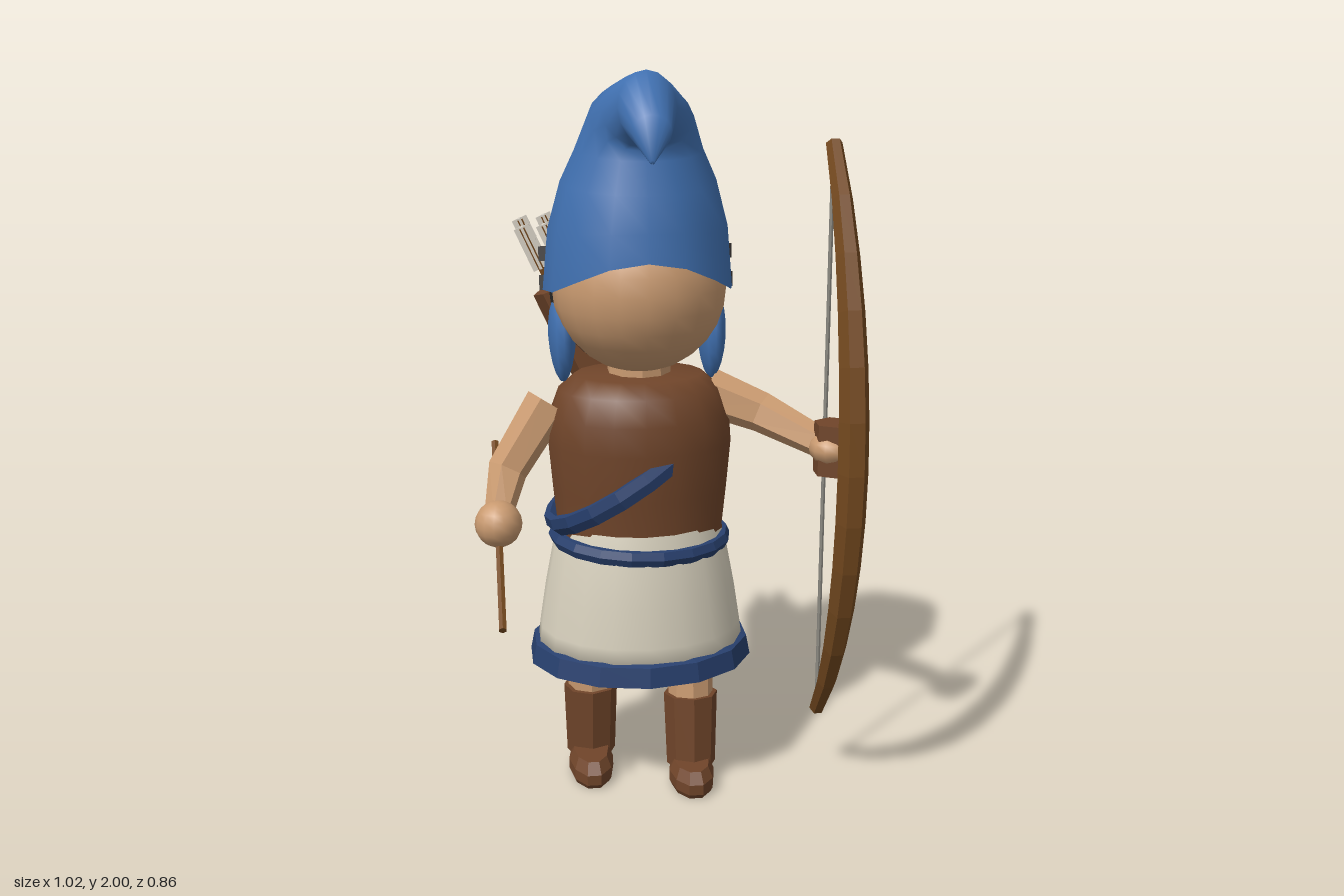
import * as THREE from 'three';

const V = (x, y, z) => new THREE.Vector3(x, y, z);
const CX = -0.055, CZ = -0.035; // body axis

const mat = (color, flat = true, side = THREE.FrontSide) =>
  new THREE.MeshStandardMaterial({ color, flatShading: flat, side });
const skin = mat(0xc99a70), skinSmooth = mat(0xc99a70, false), leather = mat(0x70452a);
const leatherSmooth = mat(0x70452a, false), navy = mat(0x28406e), cream = mat(0xd6cfbc, false, THREE.DoubleSide);
const blue = mat(0x4070b0, false, THREE.DoubleSide), hair = mat(0x2e2b29, false), wood = mat(0x74491f);
const fletch = mat(0xd6d0c4), cord = mat(0x8a8880);

// Skin a list of equal-sized rings, with optional end caps
function loft(rings, caps = [true, true]) {
  const n = rings[0].length, pos = [], idx = [];
  rings.flat().forEach(p => pos.push(p.x, p.y, p.z));
  for (let i = 0; i < rings.length - 1; i++)
    for (let j = 0; j < n; j++) {
      const k = (j + 1) % n, a = i * n + j, b = i * n + k;
      idx.push(a, b, a + n, b, b + n, a + n);
    }
  [0, rings.length - 1].forEach((r, end) => {
    if (!caps[end]) return;
    const c = rings[r].reduce((s, p) => s.add(p), V(0, 0, 0)).divideScalar(n);
    const ci = pos.length / 3;
    pos.push(c.x, c.y, c.z);
    for (let j = 0; j < n; j++) {
      const a = r * n + j, b = r * n + (j + 1) % n;
      end ? idx.push(ci, a, b) : idx.push(ci, b, a);
    }
  });
  const g = new THREE.BufferGeometry();
  g.setAttribute('position', new THREE.Float32BufferAttribute(pos, 3));
  g.setIndex(idx);
  g.computeVertexNormals();
  return g;
}

// Sweep an elliptical section [a, b] along points
function sweep(points, radii, sides = 6, ref = V(0, 0, 1)) {
  return loft(points.map((p, i) => {
    const t = points[Math.min(i + 1, points.length - 1)].clone().sub(points[Math.max(i - 1, 0)]).normalize();
    const s = ref.clone().cross(t).normalize(), u = t.clone().cross(s);
    const [a, b] = [radii[i]].flat().length > 1 ? radii[i] : [radii[i], radii[i]];
    return Array.from({ length: sides }, (_, j) => {
      const w = (j / sides) * Math.PI * 2;
      return p.clone().addScaledVector(s, a * Math.cos(w)).addScaledVector(u, b * Math.sin(w));
    });
  }));
}

const rod = (a, b, r, sides = 6) => sweep([a, b], [r, r], sides, V(1, 0, 0.01));
const ball = (r, w = 20, h = 14) => new THREE.SphereGeometry(r, w, h);

export function createModel() {
  const root = new THREE.Group();
  const add = (name, geo, m, p = [0, 0, 0], s = [1, 1, 1], parent = root) => {
    const mesh = new THREE.Mesh(geo, m);
    mesh.name = name;
    mesh.position.set(...p);
    mesh.scale.set(...s);
    parent.add(mesh);
    return mesh;
  };
  const lathe = (name, pts, m, sz = 0.81, seg = 18) =>
    add(name, new THREE.LatheGeometry(pts.map(p => new THREE.Vector2(...p)), seg), m, [CX, 0, CZ], [1, 1, sz]);

  // Clothing
  lathe('tunic', [[0.235, 0.7], [0.232, 0.76], [0.243, 0.87], [0.254, 1.0], [0.248, 1.08], [0.222, 1.15], [0.175, 1.19], [0, 1.2]], leatherSmooth, 0.77);
  lathe('skirt', [[0, 0.39], [0.295, 0.39], [0.285, 0.47], [0.268, 0.58], [0.245, 0.7], [0.222, 0.775]], cream, 0.83);
  lathe('skirtHem', [[0.28, 0.36], [0.317, 0.37], [0.306, 0.425], [0.28, 0.432]], navy, 0.84, 14);
  const belt = new THREE.TorusGeometry(0.236, 0.02, 6, 18).rotateX(Math.PI / 2).scale(1, 1.2, 0.84);
  add('belt', belt, navy, [CX, 0.728, CZ]).rotation.set(0.05, 0, -0.03);
  const sash = new THREE.TorusGeometry(0.25, 0.02, 6, 18).rotateX(Math.PI / 2).scale(1, 1.6, 0.76);
  add('sash', sash, navy, [-0.09, 0.91, -0.03]).rotation.z = 0.585;

  // Head
  add('neck', new THREE.CylinderGeometry(0.085, 0.09, 0.14, 10), skin, [CX, 1.2, CZ]);
  add('head', ball(0.235), skinSmooth, [CX, 1.435, -0.02]);
  add('hair', ball(0.24), hair, [CX, 1.43, -0.092]);

  // Hood: rings of [front z, front y, back z, back y, half width, side dip]
  const hood = [
    [0.212, 1.525, -0.315, 1.575, 0.257, 0.13],
    [0.205, 1.6, -0.295, 1.63, 0.242, 0.03],
    [0.185, 1.69, -0.25, 1.73, 0.208, 0],
    [0.16, 1.775, -0.2, 1.81, 0.17, 0],
    [0.155, 1.8, -0.05, 1.96, 0.135, 0],
    [0.165, 1.81, 0.05, 1.985, 0.108, 0],
    [0.2, 1.82, 0.155, 2.0, 0.075, 0],
    [0.265, 1.81, 0.285, 1.9, 0.05, 0],
    [0.283, 1.78, 0.287, 1.79, 0.006, 0],
  ].map(([fz, fy, bz, by, rx, dip]) => Array.from({ length: 16 }, (_, j) => {
    const w = (j / 16) * Math.PI * 2, c = Math.cos(w), s = -Math.sin(w);
    return V(CX + rx * c, (fy + by) / 2 + s * (fy - by) / 2 - dip * c * c, (fz + bz) / 2 + s * (fz - bz) / 2);
  }));
  add('hood', loft(hood, [false, true]), blue);

  for (const sx of [-1, 1]) {
    const flap = ball(1, 12, 10), p = flap.attributes.position;
    for (let i = 0; i < p.count; i++) { // narrow the lower end
      const k = 0.85 + 0.15 * p.getY(i);
      p.setX(i, p.getX(i) * k);
    }
    flap.computeVertexNormals();
    add('earFlap', flap, blue, [CX + sx * 0.205, 1.285, -0.078], [0.045, 0.125, 0.092]);
    for (const [y, z] of [[1.5, -0.16], [1.425, -0.14]])
      add('hairTuft', new THREE.BoxGeometry(0.03, 0.04, 0.12), hair, [CX + sx * 0.235, y, z]).rotation.set(-0.15, sx * 0.25, 0);
  }

  // Arms and hands
  add('leftArm', sweep([V(0.14, 1.125, -0.05), V(0.28, 1.075, 0.0), V(0.42, 1.015, 0.11)], [0.068, 0.056, 0.042]), skin);
  add('rightArm', sweep([V(-0.305, 1.11, -0.04), V(-0.42, 0.935, 0.0), V(-0.45, 0.83, 0.08)], [0.062, 0.055, 0.038]), skin);
  add('leftHand', ball(0.063, 12, 8), skinSmooth, [0.445, 1.01, 0.15], [1, 0.75, 1]);
  add('rightHand', ball(0.064, 14, 10), skinSmooth, [-0.45, 0.815, 0.1]);
  add('handGrip', new THREE.CylinderGeometry(0.056, 0.056, 0.14, 6), leather, [0.45, 1.01, 0.15]);

  // Bow and string
  const N = 12, path = [], size = [];
  for (let i = 0; i <= N; i++) {
    const k = (i / N) * 2 - 1, f = 1 - k * k;
    path.push(V(0.445, 1.01 + k * 0.8, 0.07 + 0.315 * Math.pow(f, 0.9)));
    size.push([0.022 + 0.018 * f, 0.022 + 0.023 * f]);
  }
  add('bow', sweep(path, size, 6), wood);
  add('bowString', rod(V(0.445, 0.21, 0.065), V(0.445, 1.81, 0.065), 0.006), cord);
  add('heldArrow', rod(V(-0.45, 0.96, -0.19), V(-0.45, 0.615, 0.36), 0.011), wood);

  // Legs and boots: [x, hip z, ankle z, foot z, foot length]
  for (const [side, x, hz, az, fz, len] of [['left', 0.085, 0.0, 0.035, 0.08, 0.22], ['right', -0.195, -0.075, -0.085, -0.025, 0.25]]) {
    const leg = new THREE.Group();
    leg.name = side + 'Leg';
    root.add(leg);
    const at = y => V(x, y, az + (hz - az) * (y - 0.06) / 0.35);
    add('shin', rod(at(0.42), at(0.2), 0.064, 8), skin, undefined, undefined, leg);
    add('bootShaft', sweep([at(0.045), at(0.255)], [0.07, 0.077], 8), leather, undefined, undefined, leg);
    const foot = loft([[0, 0.9], [0.015, 1], [0.045, 1], [0.075, 0.78]].map(([y, k]) =>
      Array.from({ length: 10 }, (_, j) => {
        const w = (j / 10) * Math.PI * 2;
        return V(0.064 * k * Math.cos(w), y, -len / 2 * k * Math.sin(w));
      })));
    add('bootFoot', foot, leather, [x - 0.005, 0, fz], undefined, leg);
  }

  // Quiver with arrows, built upright then leaned along its axis
  const top = V(-0.24, 1.39, -0.345), bottom = V(0.12, 0.6, -0.3);
  const axis = top.clone().sub(bottom), L = axis.length();
  const quiver = new THREE.Group();
  quiver.name = 'quiver';
  quiver.position.copy(bottom);
  quiver.quaternion.setFromUnitVectors(V(0, 1, 0), axis.normalize());
  root.add(quiver);
  add('quiverCase', new THREE.CylinderGeometry(0.094, 0.094, L, 8), leather, [0, L / 2, 0], undefined, quiver);
  for (const [x, z, h] of [[-0.04, 0.035, 0.19], [0.02, 0.03, 0.17], [-0.035, -0.02, 0.21], [0.03, -0.025, 0.19]]) {
    add('arrowShaft', new THREE.CylinderGeometry(0.009, 0.009, h, 6), wood, [x, L + h / 2, z], undefined, quiver);
    for (const turn of [0, Math.PI / 2])
      add('arrowFletching', new THREE.BoxGeometry(0.045, 0.13, 0.008), fletch, [x, L + h - 0.06, z], undefined, quiver).rotation.y = turn;
  }
  return root;
}
